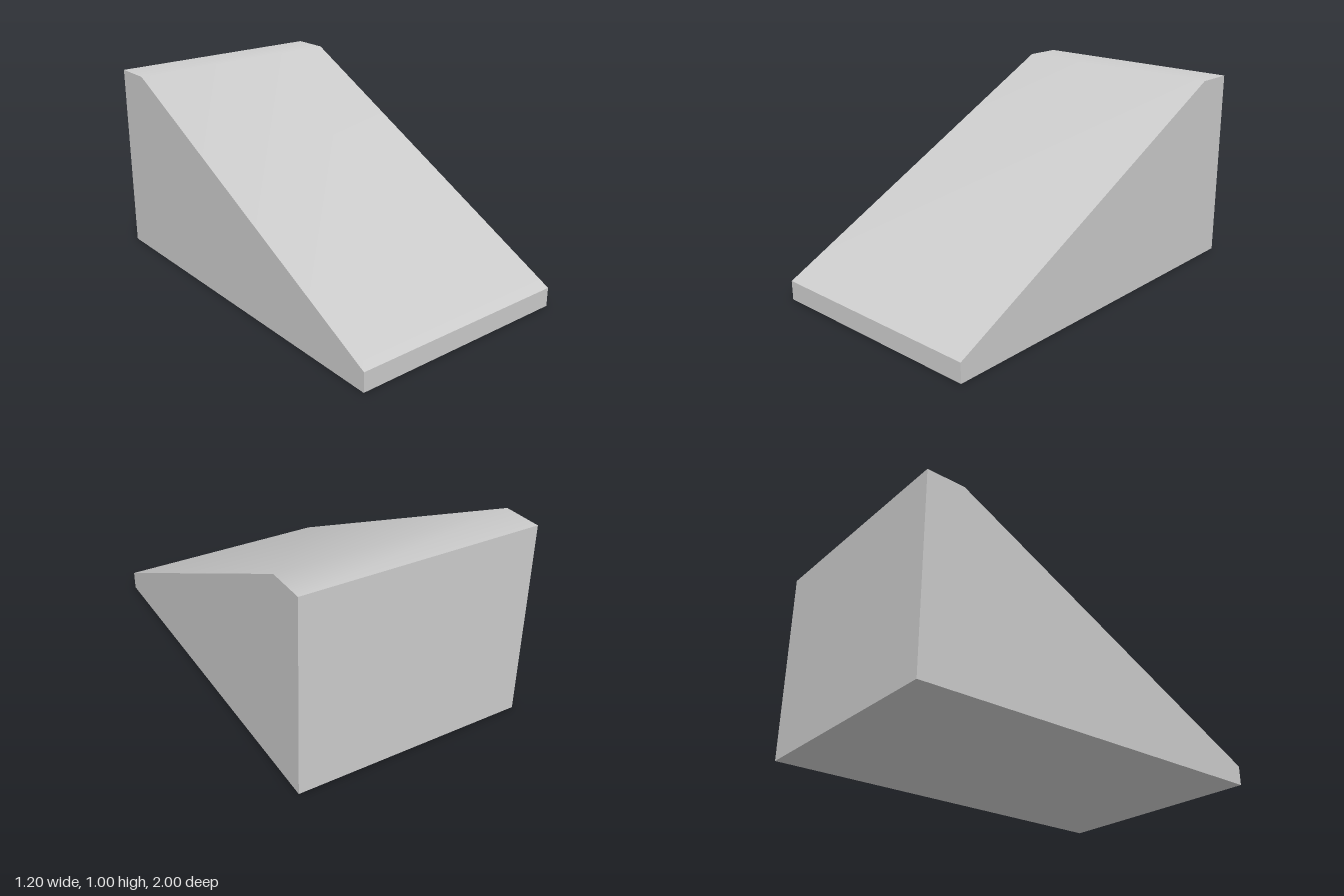
import * as THREE from 'three';
import { toCreasedNormals } from 'three/addons/utils/BufferGeometryUtils.js';

export function createModel() {
  const group = new THREE.Group();
  group.name = 'ramp';

  // Side profile (z, y): low front lip, long slope, short flat top, upright back
  const profile = new THREE.Shape(
    [[-1, 0], [1, 0], [1, 0.1], [-0.8, 1], [-1, 1]].map(([z, y]) => new THREE.Vector2(z, y))
  );

  // Extrude across the width, then turn the profile to run along z
  const width = 1.2;
  const geometry = new THREE.ExtrudeGeometry(profile, { depth: width, bevelEnabled: false });
  geometry.translate(0, 0, -width / 2);
  geometry.rotateY(-Math.PI / 2);

  // Smooth shading only where the slope meets the flat top
  const wedge = new THREE.Mesh(
    toCreasedNormals(geometry, Math.PI / 5),
    new THREE.MeshStandardMaterial({ color: 0xcccccc })
  );
  wedge.name = 'rampWedge';
  group.add(wedge);

  return group;
}
